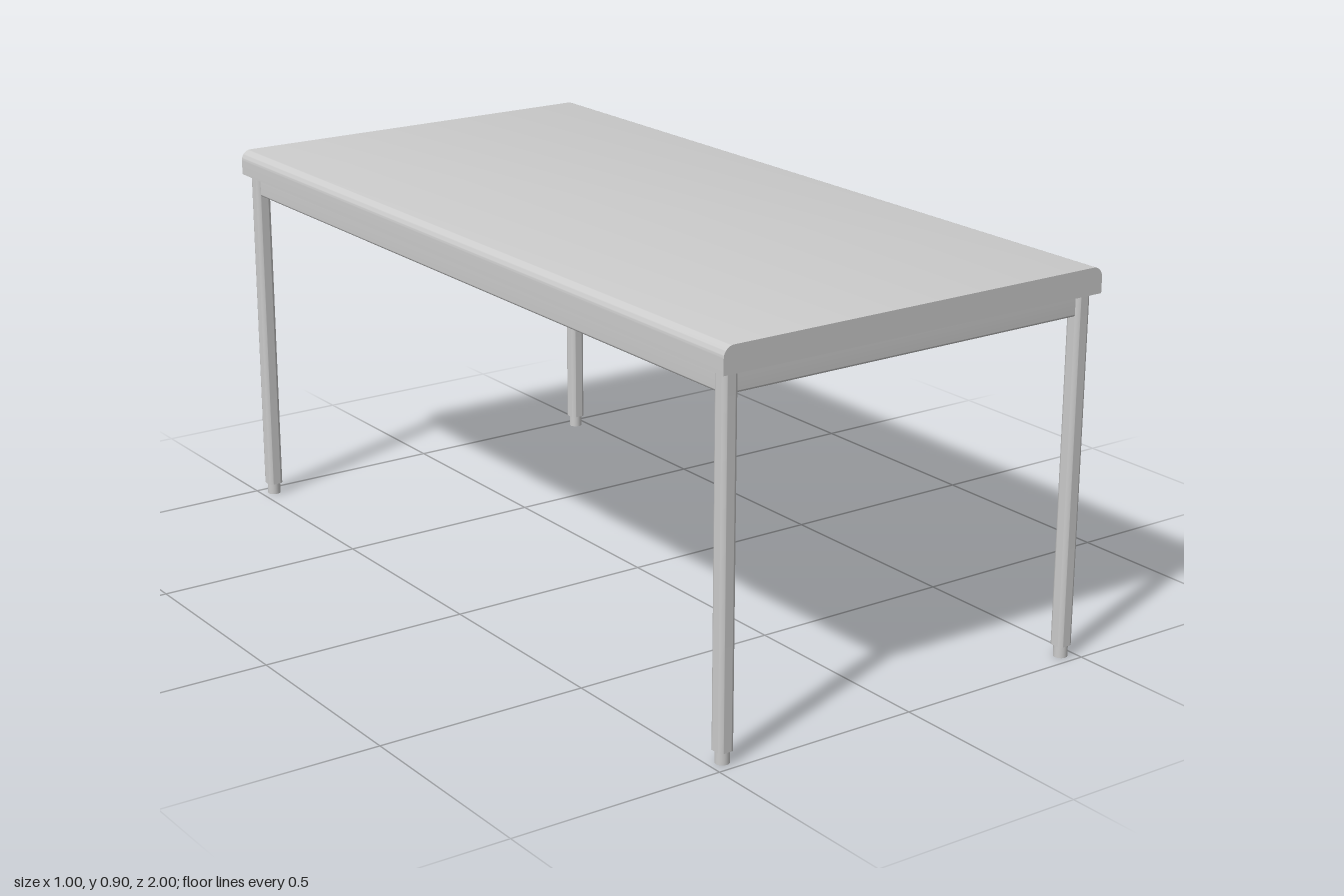
import * as THREE from 'three';
import { toCreasedNormals } from 'three/addons/utils/BufferGeometryUtils.js';

const grey = new THREE.MeshStandardMaterial({ color: 0xcccccc });

// Rectangle centred on the origin; rb and rt round the bottom and top corners
function roundedRect(w, h, rb, rt = rb) {
  const x = w / 2, y = h / 2, s = new THREE.Shape();
  s.moveTo(-x + rb, -y);
  s.lineTo(x - rb, -y);
  if (rb) s.absarc(x - rb, -y + rb, rb, -Math.PI / 2, 0);
  s.lineTo(x, y - rt);
  s.absarc(x - rt, y - rt, rt, 0, Math.PI / 2);
  s.lineTo(-x + rt, y);
  s.absarc(-x + rt, y - rt, rt, Math.PI / 2, Math.PI);
  s.lineTo(-x, -y + rb);
  if (rb) s.absarc(-x + rb, -y + rb, rb, Math.PI, Math.PI * 1.5);
  return s;
}

// Bar of the given section running along z, centred
function bar(shape, length) {
  const g = new THREE.ExtrudeGeometry(shape, { depth: length, bevelEnabled: false, curveSegments: 8 });
  g.translate(0, 0, -length / 2);
  return toCreasedNormals(g, 0.6);
}

export function createModel() {
  const table = new THREE.Group();
  table.name = 'table';
  const add = (geometry, name, x, y, z) => {
    const mesh = new THREE.Mesh(geometry, grey);
    mesh.name = name;
    mesh.position.set(x, y, z);
    table.add(mesh);
    return mesh;
  };

  const topUnder = 0.84, legX = 0.468, legZ = 0.966, legW = 0.037, footH = 0.028;

  // Slab with its two long upper edges rounded over
  add(bar(roundedRect(1, 0.06, 0, 0.025), 2), 'tableTop', 0, topUnder + 0.03, 0);

  // Rounded square legs on round feet
  const legLength = topUnder - footH;
  const legGeo = bar(roundedRect(legW, legW, 0.01), legLength).rotateX(Math.PI / 2);
  const footGeo = new THREE.CylinderGeometry(0.016, 0.016, footH, 24);
  for (const sx of [-1, 1]) for (const sz of [-1, 1]) {
    const name = (sz > 0 ? 'front' : 'back') + (sx > 0 ? 'Left' : 'Right');
    add(legGeo, name + 'Leg', sx * legX, footH + legLength / 2, sz * legZ);
    add(footGeo, name + 'Foot', sx * legX, footH / 2, sz * legZ);
  }

  // Rails between the legs, just under the top
  const section = roundedRect(0.02, 0.05, 0.005);
  const sideGeo = bar(section, 2 * legZ - legW + 0.01);
  const endGeo = bar(section, 2 * legX - legW + 0.01).rotateY(Math.PI / 2);
  for (const s of [-1, 1]) {
    add(sideGeo, s > 0 ? 'leftRail' : 'rightRail', s * legX, topUnder - 0.025, 0);
    add(endGeo, s > 0 ? 'frontRail' : 'backRail', 0, topUnder - 0.025, s * legZ);
  }
  return table;
}
